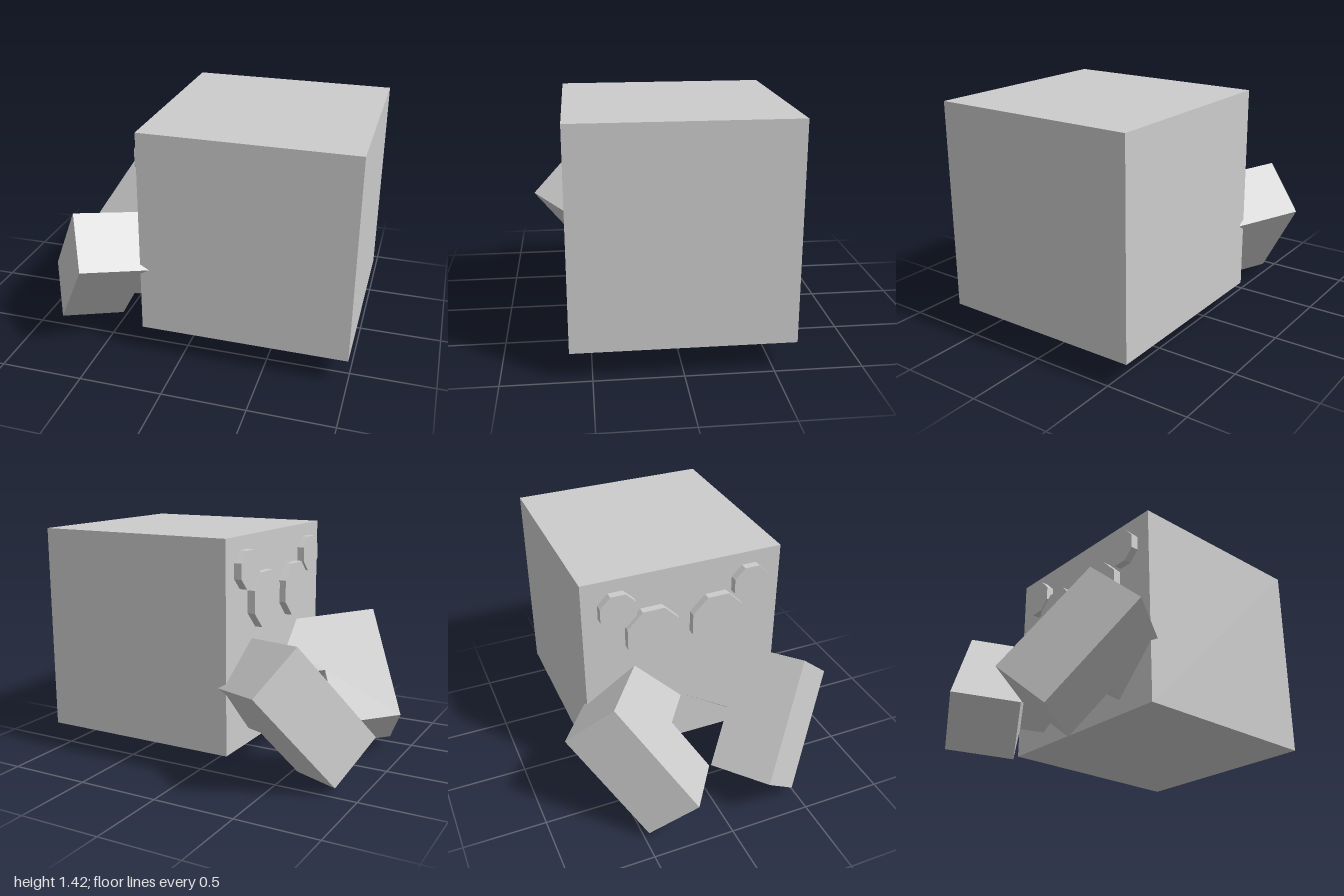
import * as THREE from 'three';

const material = new THREE.MeshStandardMaterial({ color: 0xcccccc, flatShading: true });

function addMesh(parent, geometry, name) {
  const mesh = new THREE.Mesh(geometry, material);
  mesh.name = name;
  parent.add(mesh);
  return mesh;
}

// Bent fang: an L-shaped prism, laid out along three slanted axes
function fangGeometry(side) {
  const vec = (x, y, z) => new THREE.Vector3(x, y, z * side);
  const across = vec(0.33, -0.045, -0.22); // from the tip towards the head
  const up = vec(0.33, 0.57, 0.37); // along the hanging part
  const width = vec(0.14, -0.245, 0.252);
  const origin = vec(-1, 0.295, 0.226);
  if (side < 0) {
    // keep the axes right-handed on the mirrored side
    origin.add(width);
    width.negate();
  }
  const profile = new THREE.Shape(
    [[0, 0], [1, 0], [1, 0.485], [2, 0.485], [2, 1], [0, 1]].map(([x, y]) => new THREE.Vector2(x, y))
  );
  const geometry = new THREE.ExtrudeGeometry(profile, { depth: 1, bevelEnabled: false });
  return geometry.applyMatrix4(new THREE.Matrix4().makeBasis(across, up, width).setPosition(origin));
}

// Octagonal disc facing -x, with flat sides at top and bottom
function eyeGeometry(radius) {
  return new THREE.CylinderGeometry(radius, radius, 0.1, 8, 1, false, Math.PI / 8).rotateZ(Math.PI / 2);
}

export function createModel() {
  const model = new THREE.Group();
  model.name = 'spiderHead';

  // Cube head
  addMesh(model, new THREE.BoxGeometry(1.246, 1.246, 1.246), 'head').position.set(0.375, 0.797, 0);

  // Eyes and fangs, mirrored across z
  for (const side of [1, -1]) {
    const label = side > 0 ? 'Front' : 'Back';
    addMesh(model, eyeGeometry(0.176), 'largeEye' + label).position.set(-0.245, 1.033, 0.205 * side);
    addMesh(model, eyeGeometry(0.118), 'smallEye' + label).position.set(-0.245, 1.231, 0.418 * side);
    addMesh(model, fangGeometry(side), 'fang' + label);
  }
  return model;
}
